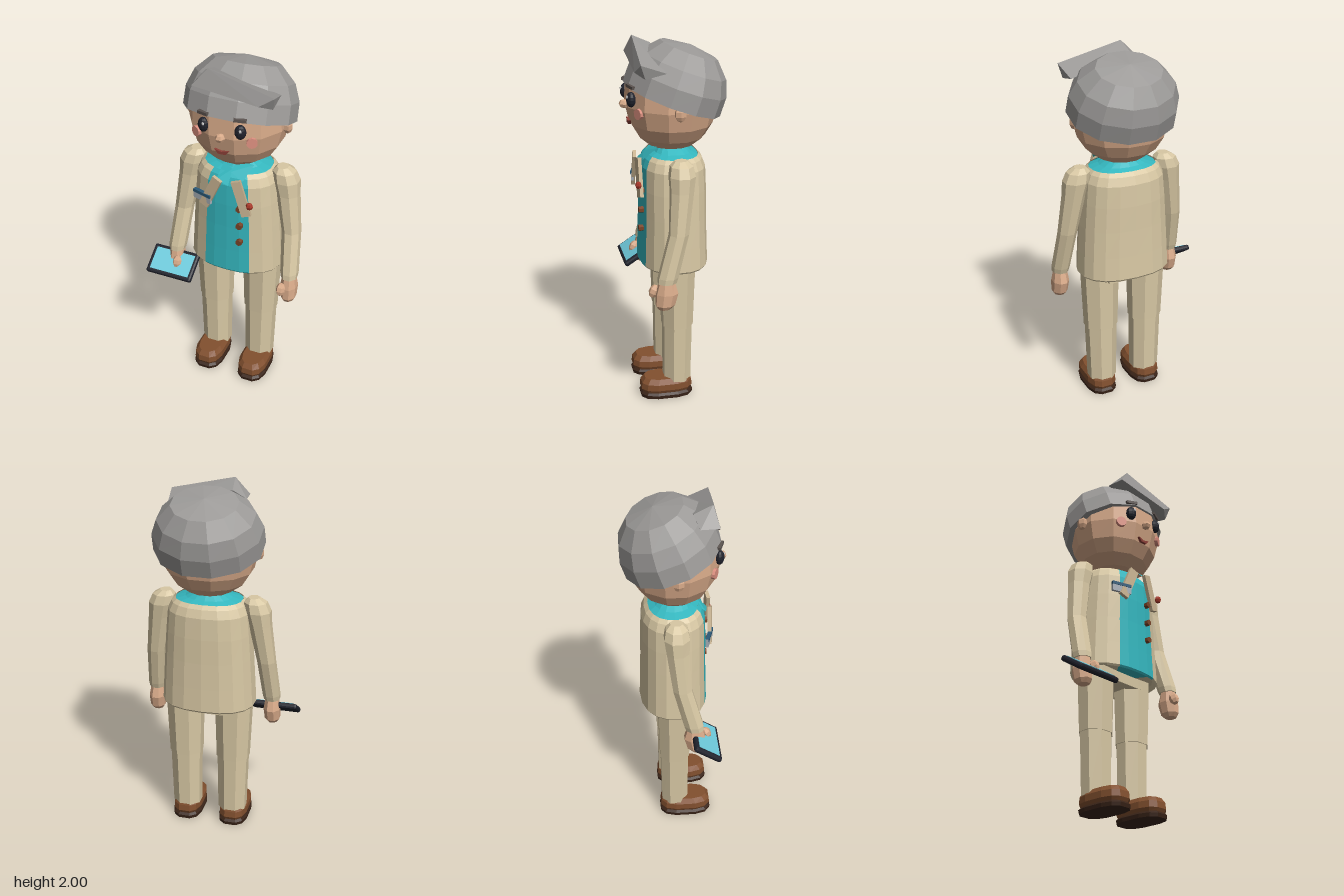
import * as THREE from 'three';
import { ConvexGeometry } from 'three/addons/geometries/ConvexGeometry.js';
import { RoundedBoxGeometry } from 'three/addons/geometries/RoundedBoxGeometry.js';

const paint = (color) => new THREE.MeshStandardMaterial({ color, flatShading: true, side: THREE.DoubleSide });
const SKIN = paint(0xd9ab8a), SUIT = paint(0xd8c8a4), LAPEL = paint(0xc9b492), TEAL = paint(0x35b8c0);
const HAIR = paint(0x9c9a98), BROW = paint(0x5c5450), DARK = paint(0x20222c), WHITE = paint(0xffffff);
const PINK = paint(0xdd9080), MOUTH = paint(0x8c4038), SHOE = paint(0x82502f), SOLE = paint(0x3a2418);
const BUTTON = paint(0x7a4428), RED = paint(0xa83828), SCREEN = paint(0x6fcbdc), BADGE = paint(0xa9b0b8), BLUE = paint(0x2c5a78);

// Skin over horizontal rings [x, y, z, rx, rz], listed from bottom to top; angle 0 faces +z
function loft(rings, sides, { from = 0, to = from + Math.PI * 2, power = 1 } = {}) {
  const pos = [], idx = [];
  const bend = (v) => Math.sign(v) * Math.abs(v) ** power;
  rings.forEach(([x, y, z, rx, rz], j) => {
    for (let i = 0; i <= sides; i++) {
      const a = from + (to - from) * i / sides;
      pos.push(x + rx * bend(Math.sin(a)), y, z + rz * bend(Math.cos(a)));
      if (j < rings.length - 1 && i < sides) {
        const p = j * (sides + 1) + i, q = p + sides + 1;
        idx.push(p, p + 1, q + 1, p, q + 1, q);
      }
    }
  });
  const g = new THREE.BufferGeometry();
  g.setAttribute('position', new THREE.Float32BufferAttribute(pos, 3));
  g.setIndex(idx);
  g.computeVertexNormals();
  return g;
}

// Loft closed at both ends
function solid(rings, sides, options) {
  const cap = ([x, y, z]) => [x, y, z, 0, 0];
  return loft([cap(rings[0]), ...rings, cap(rings[rings.length - 1])], sides, options);
}

export function createModel() {
  const model = new THREE.Group();
  model.name = 'figure';
  const body = new THREE.Group();
  body.name = 'body';
  body.position.x = 0.043;
  model.add(body);

  const add = (name, geometry, material, p = [0, 0, 0], r = [0, 0, 0], parent = body) => {
    const m = new THREE.Mesh(geometry, material);
    m.name = name;
    m.position.set(...p);
    m.rotation.set(...r);
    parent.add(m);
    return m;
  };
  const box = (x, y, z) => new THREE.BoxGeometry(x, y, z);
  const ball = (x, y, z, w = 8, h = 6) => new THREE.SphereGeometry(1, w, h).scale(x, y, z);
  const disc = (r, d, n) => new THREE.CylinderGeometry(r, r, d, n).rotateX(Math.PI / 2);
  const twelfth = { from: Math.PI / 12 };

  // Head
  add('head', solid([
    [0, 1.43, 0.01, 0.125, 0.12], [0, 1.48, 0.01, 0.195, 0.18], [0, 1.55, 0.01, 0.24, 0.222],
    [0, 1.65, 0.01, 0.265, 0.246], [0, 1.76, 0.01, 0.26, 0.24], [0, 1.86, 0, 0.19, 0.17],
  ], 12, twelfth), SKIN);
  add('neck', new THREE.CylinderGeometry(0.06, 0.065, 0.12, 8), SKIN, [0, 1.4, 0.01]);

  // Hair: bowl tilted backwards, with a swept fringe
  add('hair', solid([
    [0, 0, 0, 0.3, 0.27], [0, 0.1, 0, 0.297, 0.268], [0, 0.19, 0, 0.262, 0.235],
    [0, 0.272, 0, 0.18, 0.158], [0, 0.3, 0, 0, 0],
  ], 12, twelfth), HAIR, [0, 1.67, 0.007], [-0.35, 0, 0]);
  add('fringe', new ConvexGeometry([
    [-0.09, 1.995, 0.2], [-0.1, 1.95, 0.1], [-0.17, 1.9, 0.13], [-0.165, 1.9, 0.23], [0.267, 1.91, 0.215],
    [0.25, 1.86, 0.08], [0.25, 1.835, 0.19], [0.19, 1.86, 0.235], [0.07, 1.9, 0.15],
  ].map((p) => new THREE.Vector3(...p))), HAIR);

  // Face
  add('nose', ball(0.027, 0.024, 0.03, 6, 4), SKIN, [0, 1.655, 0.258]);
  const smile = new THREE.Shape([[-0.04, 0.014], [0, 0.004], [0.04, 0.014], [0.02, -0.01], [-0.02, -0.01]]
    .map((p) => new THREE.Vector2(...p)));
  add('mouth', new THREE.ExtrudeGeometry(smile, { depth: 0.015, bevelEnabled: false }), MOUTH, [0, 1.56, 0.227]);
  for (const s of [-1, 1]) {
    add('eye', ball(0.03, 0.04, 0.025, 10, 8), DARK, [s * 0.1, 1.7, 0.238], [0, s * 0.3, 0]);
    add('eyeHighlight', ball(0.008, 0.009, 0.006, 6, 4), WHITE, [s * 0.1 + 0.008, 1.716, 0.26]);
    add('eyebrow', box(0.065, 0.016, 0.025), BROW, [s * 0.098, 1.768, 0.238], [0, s * 0.35, s * -0.1]);
    add('cheek', disc(0.029, 0.02, 10), PINK, [s * 0.15, 1.635, 0.208], [0, s * 0.48, 0]);
    add('ear', ball(0.025, 0.042, 0.032, 6, 5), SKIN, [s * 0.268, 1.655, 0.015]);
  }

  // Torso: jacket wraps round the back and leaves the shirt open in front
  const torso = [
    [0, 0.78, 0.005, 0, 0], [0, 0.79, 0.005, 0.235, 0.165], [0, 0.77, 0.005, 0.255, 0.18],
    [0, 0.78, 0.005, 0.262, 0.187], [0, 0.91, 0.005, 0.255, 0.182], [0, 1.06, 0.005, 0.246, 0.178],
    [0, 1.2, 0.005, 0.236, 0.177], [0, 1.32, 0.005, 0.225, 0.172], [0, 1.365, 0.005, 0.205, 0.155],
    [0, 1.385, 0.005, 0.185, 0.135],
  ];
  const gap = 0.46, power = 0.85;
  add('jacket', loft(torso, 16, { from: gap, to: Math.PI * 2 - gap, power }), SUIT);
  add('shirtFront', loft(torso, 4, { from: -gap, to: gap, power }), TEAL);
  add('shirtYoke', loft([[0, 1.38, 0.005, 0.185, 0.135], [0, 1.395, 0.005, 0.13, 0.1],
    [0, 1.425, 0.01, 0.075, 0.072]], 16, { power }), TEAL);

  // Open collar flaps, each a folded quad
  const flap = (name, ...pts) => {
    const g = new THREE.BufferGeometry();
    g.setAttribute('position', new THREE.Float32BufferAttribute(pts.flat(), 3));
    g.setIndex([0, 1, 2, 0, 2, 3]);
    g.computeVertexNormals();
    add(name, g, TEAL);
  };
  flap('collarRight', [-0.06, 1.345, 0.18], [0.012, 1.33, 0.19], [0.012, 1.4, 0.13], [-0.05, 1.41, 0.1]);
  flap('collarLeft', [0.015, 1.4, 0.16], [0.09, 1.37, 0.18], [0.125, 1.44, 0.11], [0.03, 1.44, 0.1]);

  // Lapels, buttons, pin and badge
  add('lapelRight', box(0.055, 0.2, 0.02), LAPEL, [-0.083, 1.275, 0.198], [-0.04, -0.15, -0.42]);
  add('lapelLeft', box(0.052, 0.21, 0.02), LAPEL, [0.09, 1.275, 0.198], [-0.04, 0.15, 0.3]);
  for (const y of [1.2, 1.09, 0.985]) add('button', disc(0.018, 0.03, 6), BUTTON, [0.077, y, 0.187]);
  add('pin', ball(0.021, 0.021, 0.018, 6, 4), RED, [0.142, 1.25, 0.212]);
  const badge = new THREE.Group();
  badge.name = 'badge';
  badge.position.set(-0.133, 1.228, 0.19);
  badge.rotation.y = -0.3;
  body.add(badge);
  add('badgePlate', box(0.115, 0.052, 0.016), BADGE, [0, 0, 0], [0, 0, 0], badge);
  add('badgeStripe', box(0.115, 0.018, 0.02), BLUE, [0, 0.02, 0.001], [0, 0, 0], badge);

  // Arms, hands, legs and shoes
  const eighth = { from: Math.PI / 8 };
  add('hips', box(0.26, 0.09, 0.2), SUIT, [0, 0.775, -0.005]);
  for (const s of [-1, 1]) {
    const side = s > 0 ? 'left' : 'right';
    add(side + 'Arm', solid([
      [s * 0.337, 0.77, 0.1, 0.046, 0.052], [s * 0.335, 0.8, 0.093, 0.05, 0.056], [s * 0.315, 1.03, 0.032, 0.053, 0.054],
      [s * 0.282, 1.25, 0.01, 0.064, 0.064], [s * 0.268, 1.33, 0.006, 0.074, 0.072],
      [s * 0.255, 1.38, 0.006, 0.064, 0.062], [s * 0.245, 1.405, 0.006, 0.032, 0.035],
    ], 8, eighth), SUIT);
    add(side + 'Hand', solid([
      [s * 0.34, 0.622, 0.115, 0.03, 0.034], [s * 0.34, 0.645, 0.11, 0.044, 0.054],
      [s * 0.338, 0.71, 0.1, 0.048, 0.062], [s * 0.337, 0.78, 0.1, 0.036, 0.042],
    ], 8, eighth), SKIN);
    add(side + 'Thumb', ball(0.026, 0.038, 0.028, 6, 5), SKIN, [s * 0.312, 0.715, 0.165], [-0.4, 0, 0]);
    add(side + 'Thigh', solid([[s * 0.138, 0.43, 0.004, 0.097, 0.089], [s * 0.141, 0.8, 0.004, 0.11, 0.1]], 8, eighth), SUIT);
    add(side + 'Shin', solid([[s * 0.135, 0.09, 0.005, 0.084, 0.08], [s * 0.138, 0.44, 0.004, 0.092, 0.084]], 8, eighth), SUIT);
    const shoe = { from: Math.PI / 12, power: 0.7 };
    add(side + 'Sole', solid([[s * 0.138, 0, 0.067, 0.084, 0.146], [s * 0.138, 0.02, 0.067, 0.087, 0.15],
      [s * 0.138, 0.032, 0.067, 0.076, 0.138]], 12, shoe), SOLE);
    add(side + 'Shoe', solid([[s * 0.138, 0.03, 0.067, 0.074, 0.136], [s * 0.138, 0.05, 0.067, 0.084, 0.147],
      [s * 0.138, 0.085, 0.067, 0.083, 0.143], [s * 0.138, 0.112, 0.062, 0.064, 0.128]], 12, shoe), SHOE);
  }

  // Tablet in the right hand, screen tipped up and forwards
  const tablet = new THREE.Group();
  tablet.name = 'tablet';
  tablet.position.set(-0.34, 0.692, 0.16);
  tablet.rotation.x = 0.58;
  body.add(tablet);
  const shell = new RoundedBoxGeometry(0.278, 0.032, 0.172, 1, 0.012);
  add('tabletCase', shell, DARK, [0, 0, 0], [0, 0, 0], tablet);
  add('tabletScreen', box(0.235, 0.01, 0.132), SCREEN, [0, 0.014, 0], [0, 0, 0], tablet);

  return model;
}
